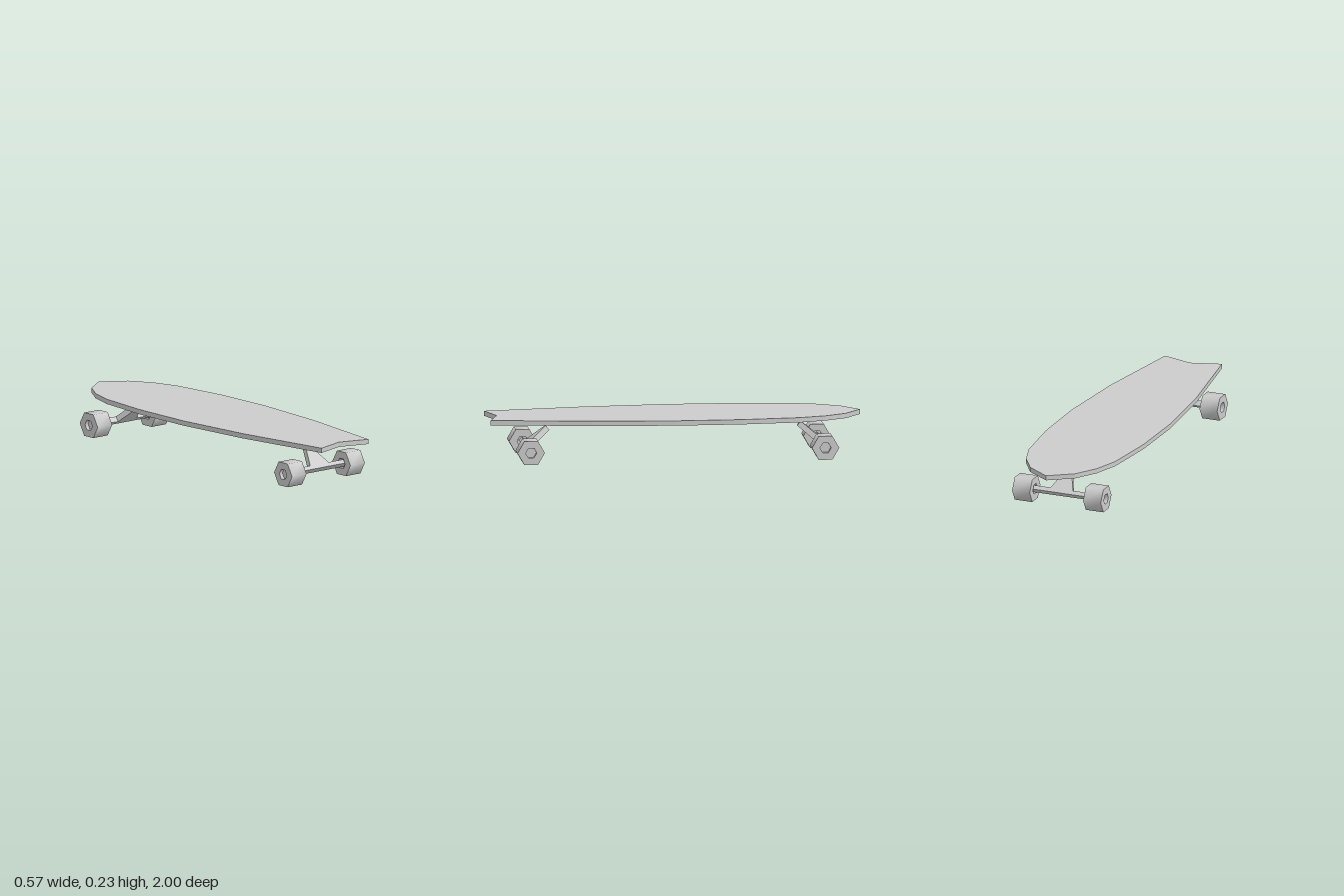
import * as THREE from 'three';
import { toCreasedNormals } from 'three/addons/utils/BufferGeometryUtils.js';

const material = new THREE.MeshStandardMaterial({ color: 0xcccccc });
const flat = new THREE.MeshStandardMaterial({ color: 0xcccccc, flatShading: true });

function part(name, geometry, mat = material) {
  const mesh = new THREE.Mesh(geometry, mat);
  mesh.name = name;
  return mesh;
}

// Shape symmetric about x = 0, from its right-hand half outline
function mirroredShape(half) {
  const other = half.filter(([x]) => x > 0).reverse().map(([x, y]) => [-x, y]);
  return new THREE.Shape([...half, ...other].map(([x, y]) => new THREE.Vector2(x, y)));
}

// Flat board with a pointed nose at the back and a notched tail at the front
function createDeck() {
  const shape = mirroredShape([
    [0, -0.95], [0.165, -1], [0.25, -0.46], [0.286, -0.02], [0.283, 0.34],
    [0.25, 0.65], [0.205, 0.79], [0.13, 0.91], [0, 1],
  ]);
  const geometry = new THREE.ExtrudeGeometry(shape, { depth: 0.026, bevelEnabled: false });
  geometry.rotateX(-Math.PI / 2).translate(0, 0.203, 0);
  return part('deck', geometry, flat);
}

// Six-sided wheel with a recessed hub on both faces
function createWheel() {
  const r = 0.0733, hub = 0.03, w = 0.051, floor = 0.03;
  const profile = [
    [0, -floor], [hub, -floor], [hub, -w], [r, -w],
    [r, w], [hub, w], [hub, floor], [0, floor],
  ].map(([x, y]) => new THREE.Vector2(x, y));
  const geometry = toCreasedNormals(new THREE.LatheGeometry(profile, 6), 1.2);
  geometry.rotateZ(-Math.PI / 2);
  return part('wheel', geometry);
}

// Axle bar and tapered plate in one piece, leaning towards the middle of the board
function createHanger() {
  const shape = mirroredShape([
    [0.18, -0.0125], [0.18, 0.0125], [0.065, 0.0125], [0.01, 0.15],
  ]);
  const geometry = new THREE.ExtrudeGeometry(shape, { depth: 0.031, bevelEnabled: false });
  geometry.translate(0, 0, -0.0155).rotateX(THREE.MathUtils.degToRad(-50));
  return part('hanger', geometry, flat);
}

function createTruck(name) {
  const truck = new THREE.Group();
  truck.name = name;
  truck.add(createHanger());
  for (const side of [-1, 1]) {
    const wheel = createWheel();
    wheel.name = side > 0 ? 'leftWheel' : 'rightWheel';
    wheel.position.x = side * 0.206;
    truck.add(wheel);
  }
  return truck;
}

export function createModel() {
  const model = new THREE.Group();
  model.name = 'skateboard';
  model.add(createDeck());

  const front = createTruck('frontTruck');
  front.position.set(0, 0.0635, 0.793);

  // Rear truck is turned around so both plates lean inwards
  const rear = createTruck('rearTruck');
  rear.position.set(0, 0.0635, -0.786);
  rear.rotation.y = Math.PI;
  rear.children[1].name = 'leftWheel';
  rear.children[2].name = 'rightWheel';

  model.add(front, rear);
  return model;
}
